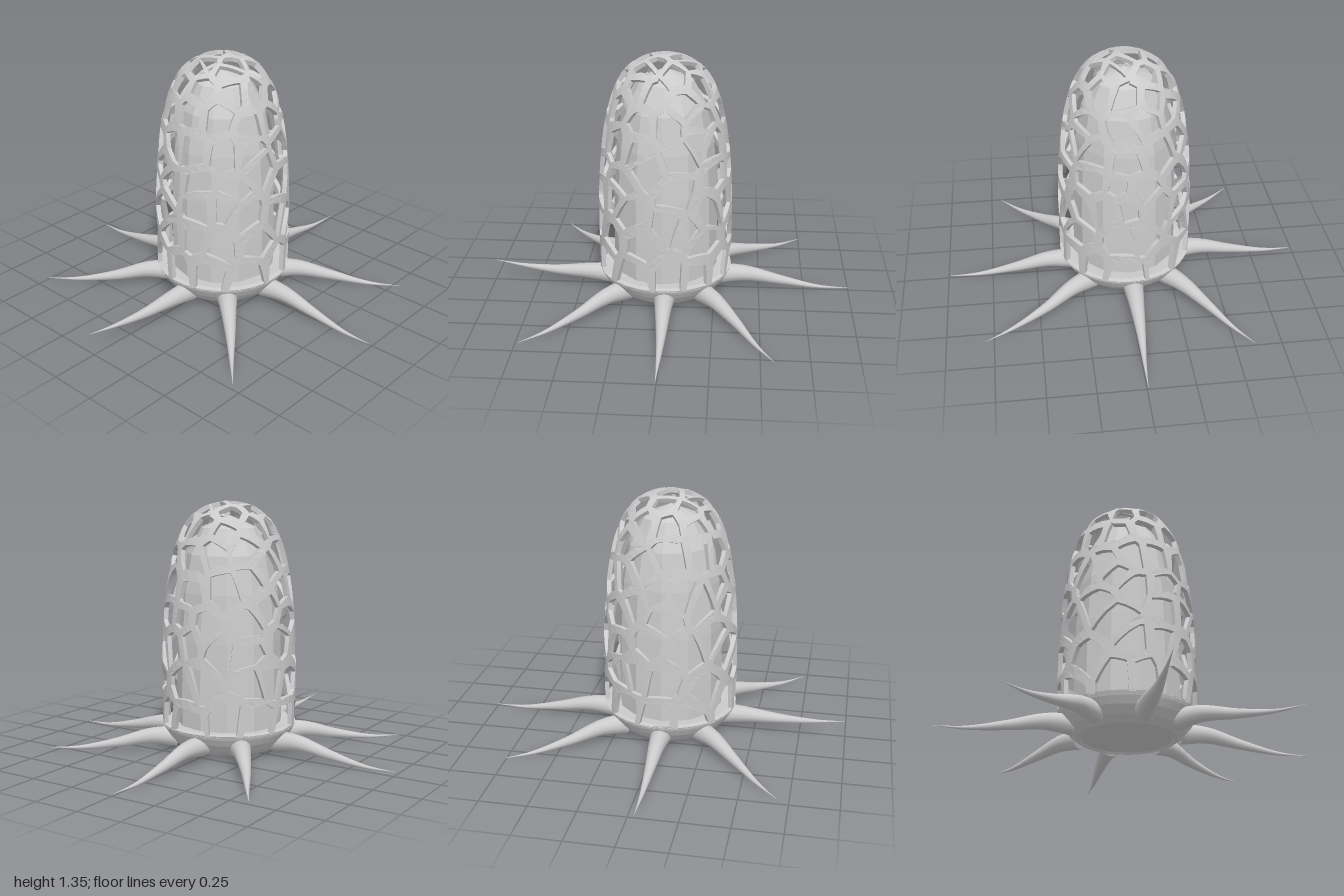
import * as THREE from 'three';
import { mergeVertices } from 'three/addons/utils/BufferGeometryUtils.js';

const CX = -0.025, CZ = -0.005; // axis of the body
const BARS = 0.024;             // depth of the lattice bars
const v2 = (x, y) => new THREE.Vector2(x, y);

function seeded(seed) {
  return () => {
    seed = (seed * 1664525 + 1013904223) % 4294967296;
    return seed / 4294967296;
  };
}

// Shell outline, from rim to pole
const outline = new THREE.SplineCurve([
  v2(0.365, 0.15), v2(0.366, 0.4), v2(0.362, 0.62), v2(0.348, 0.82), v2(0.322, 1.0),
  v2(0.282, 1.15), v2(0.22, 1.265), v2(0.125, 1.335), v2(0, 1.365),
]);

// Unrolls the shell onto a unit disc (pole at the centre) without distorting shapes
function makeDiscMap() {
  const N = 400, pts = outline.getSpacedPoints(N), rho = [1];
  let w = 0;
  for (let i = 1; i <= N; i++) {
    w += pts[i].distanceTo(pts[i - 1]) / ((pts[i].x + pts[i - 1].x) / 2);
    rho.push(i === N ? 0 : Math.exp(-w));
  }
  // point of the disc -> point of the shell, sunk by a depth
  const toShell = (p, depth) => {
    const d = Math.min(p.length(), 1), a = Math.atan2(p.y, p.x);
    let lo = 0, hi = N;
    while (hi - lo > 1) {
      const mid = (lo + hi) >> 1;
      if (rho[mid] >= d) lo = mid; else hi = mid;
    }
    const q = pts[lo].clone().lerp(pts[hi], (rho[lo] - d) / (rho[lo] - rho[hi]));
    const t = pts[hi].clone().sub(pts[lo]).normalize();
    const r = Math.max(q.x - t.y * depth, 0), y = q.y + t.x * depth;
    return [r * Math.cos(a), y, r * Math.sin(a)];
  };
  const rhoAt = (s) => rho[Math.round(s * N)];
  const radiusAt = (s) => pts[Math.round(s * N)].x;
  return { toShell, rhoAt, radiusAt };
}

// Keeps the part of a polygon that is nearer to a than to b
function clipToNearer(poly, a, b) {
  const n = b.clone().sub(a), c = n.dot(a.clone().add(b).multiplyScalar(0.5));
  const out = [];
  poly.forEach((p, i) => {
    const q = poly[(i + 1) % poly.length], dp = n.dot(p) - c, dq = n.dot(q) - c;
    if (dp <= 0) out.push(p);
    if (dp * dq < 0) out.push(p.clone().lerp(q, dp / (dp - dq)));
  });
  return out;
}

// Lattice: irregular cells on the shell, smaller towards the pole, each with a hole
function latticeGeometry() {
  const rand = seeded(29), map = makeDiscMap();
  const seeds = [], ghosts = [], ROWS = 9;
  for (let row = 0; row < ROWS; row++) {
    const u = (row + 0.5) / ROWS, s0 = u * (1.3 - 0.3 * u);
    const count = Math.max(4, Math.round(2 * Math.PI * map.radiusAt(s0) / (0.2 - 0.07 * u)));
    for (let k = 0; k < count; k++) {
      const s = Math.min(s0 + (rand() - 0.5) * (row ? 0.1 : 0.05), 0.97);
      const a = (k + (row % 2) / 2 + (rand() - 0.5) * 0.7) / count * Math.PI * 2;
      const d = map.rhoAt(s);
      seeds.push(v2(d * Math.cos(a), d * Math.sin(a)));
      if (row === 0) ghosts.push(v2(Math.cos(a) / d, Math.sin(a) / d));
    }
  }
  const all = [...seeds, ...ghosts], pos = [];
  const quad = (a, b, c, d) => pos.push(...a, ...b, ...c, ...a, ...c, ...d);
  for (const seed of seeds) {
    let cell = [v2(-3, -3), v2(3, -3), v2(3, 3), v2(-3, 3)];
    for (const other of all) if (other !== seed) cell = clipToNearer(cell, seed, other);
    const mid = cell.reduce((m, p) => m.add(p), v2(0, 0)).divideScalar(cell.length);
    const hole = cell.map((p) => mid.clone().lerp(p, 0.64 + rand() * 0.26));
    const STEPS = 3;
    cell.forEach((p, i) => {
      const j = (i + 1) % cell.length;
      for (let k = 0; k < STEPS; k++) {
        const at = (list, t, depth) => map.toShell(list[i].clone().lerp(list[j], t), depth);
        const t1 = k / STEPS, t2 = (k + 1) / STEPS;
        const o1 = at(cell, t1, 0), o2 = at(cell, t2, 0);
        const h1 = at(hole, t1, 0), h2 = at(hole, t2, 0);
        const O1 = at(cell, t1, BARS), O2 = at(cell, t2, BARS);
        const H1 = at(hole, t1, BARS), H2 = at(hole, t2, BARS);
        quad(o1, h1, h2, o2); // outside
        quad(h1, H1, H2, h2); // wall of the hole
        quad(O1, O2, H2, H1); // inside
      }
    });
  }
  const geo = new THREE.BufferGeometry();
  geo.setAttribute('position', new THREE.Float32BufferAttribute(pos, 3));
  geo.computeVertexNormals();
  return geo;
}

// Tentacle: a tube tapered to a point
function tentacleGeometry(points) {
  const curve = new THREE.CatmullRomCurve3(points.map((p) => new THREE.Vector3(...p)));
  const SEG = 28, SIDES = 12;
  let geo = new THREE.TubeGeometry(curve, SEG, 1, SIDES);
  const pos = geo.attributes.position, v = new THREE.Vector3();
  for (let i = 0; i < pos.count; i++) {
    const t = Math.floor(i / (SIDES + 1)) / SEG, c = curve.getPointAt(t);
    const radius = 0.001 + 0.057 * Math.pow(1 - t, 1.25);
    v.fromBufferAttribute(pos, i).sub(c).multiplyScalar(radius).add(c);
    pos.setXYZ(i, v.x, v.y, v.z);
  }
  geo.deleteAttribute('uv');
  geo.deleteAttribute('normal');
  geo = mergeVertices(geo, 1e-5);
  geo.computeVertexNormals();
  return geo;
}

export function createModel() {
  const model = new THREE.Group();
  const smooth = new THREE.MeshStandardMaterial({ color: 0xcccccc });
  const flat = new THREE.MeshStandardMaterial({ color: 0xcccccc, flatShading: true });
  const add = (name, geo, mat, x = 0, z = 0) => {
    const mesh = new THREE.Mesh(geo, mat);
    mesh.name = name;
    mesh.position.set(x, 0, z);
    model.add(mesh);
  };

  add('latticeShell', latticeGeometry(), flat, CX, CZ);

  // Faceted core inside the lattice
  const core = [[0.285, 0.1], [0.285, 0.35], [0.28, 0.62], [0.262, 0.88], [0.225, 1.08],
    [0.15, 1.22], [0, 1.285]].map((p) => v2(...p));
  add('innerCore', new THREE.LatheGeometry(core, 12), flat, CX, CZ);

  // Shallow bowl with a flat underside
  const bowl = [[0, 0.032], [0.24, 0.032], [0.246, 0.024], [0.258, 0.026], [0.302, 0.058],
    [0.335, 0.098], [0.357, 0.135], [0.366, 0.158], [0.34, 0.163], [0.27, 0.155]].map((p) => v2(...p));
  add('base', new THREE.LatheGeometry(bowl, 40), flat, CX, CZ);

  // Tentacles: root, bend and tip as seen on the ground (x, z), with bend and tip heights
  const tentacles = [
    [[0.27, -0.02], [0.62, -0.018], [1, -0.006], 0.052, 0.018],
    [[0.19, -0.21], [0.45, -0.405], [0.75, -0.605], 0.052, 0.022],
    [[-0.03, -0.29], [-0.032, -0.62], [-0.033, -0.995], 0.052, 0.02],
    [[-0.22, -0.21], [-0.44, -0.44], [-0.69, -0.735], 0.052, 0.025],
    [[-0.31, 0.015], [-0.64, 0], [-1, -0.03], 0.083, 0.115],
    [[-0.22, 0.2], [-0.46, 0.44], [-0.73, 0.695], 0.05, 0.022],
    [[-0.012, 0.28], [-0.005, 0.62], [-0.006, 0.995], 0.05, 0.015],
    [[0.18, 0.2], [0.37, 0.46], [0.57, 0.79], 0.052, 0.02],
  ];
  tentacles.forEach(([root, bend, tip, bendY, tipY], i) => {
    const mix = (a, b, t, y) => [a[0] + (b[0] - a[0]) * t, y, a[1] + (b[1] - a[1]) * t];
    add('tentacle' + (i + 1), tentacleGeometry([
      mix(root, bend, 0, 0.082), mix(root, bend, 0.45, 0.086), mix(bend, tip, 0, bendY),
      mix(bend, tip, 0.55, bendY * 0.35 + tipY * 0.65 - 0.01), mix(bend, tip, 1, tipY),
    ]), smooth);
  });
  return model;
}
